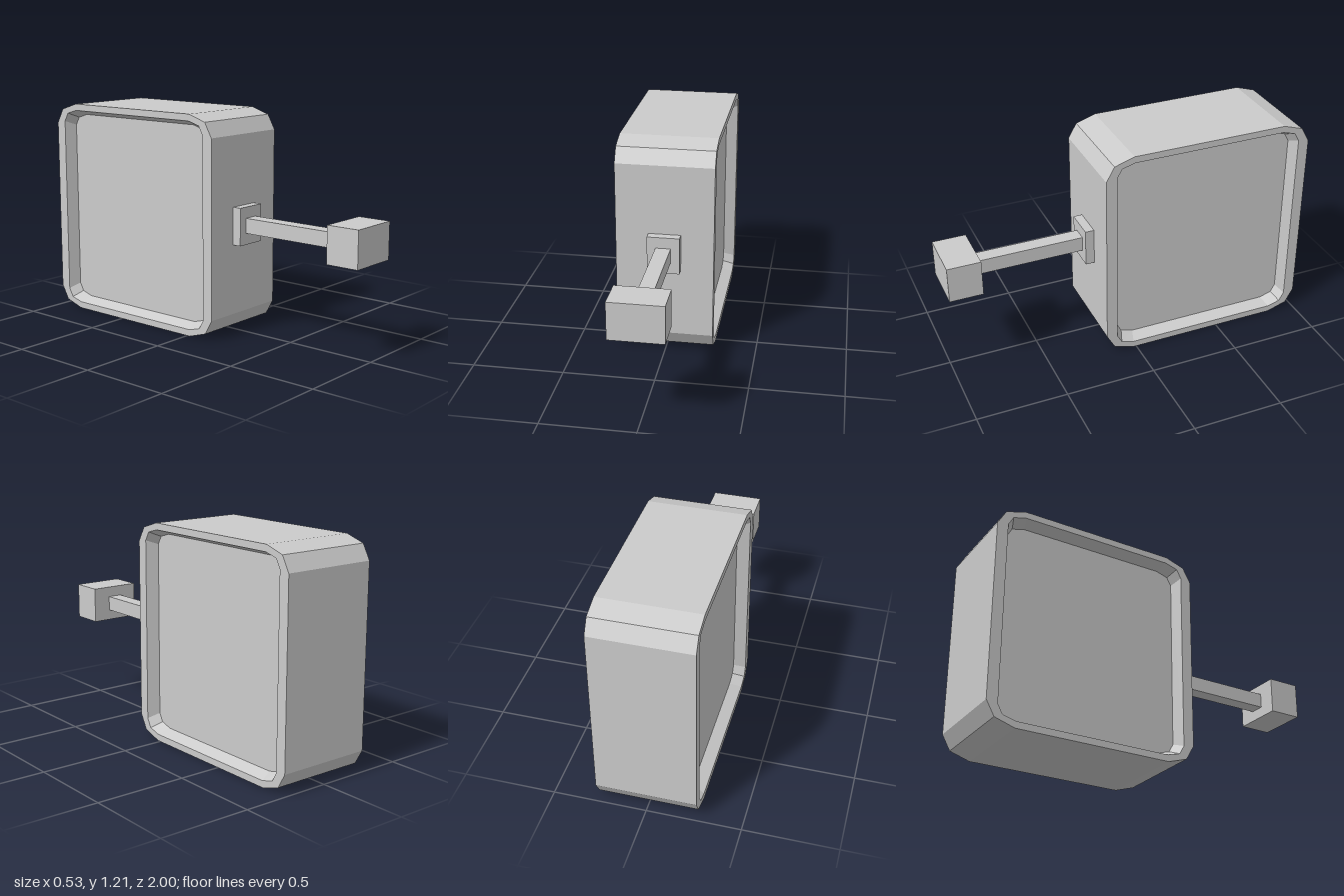
import * as THREE from 'three';

const CZ = -0.4125, CY = 0.6025;

// Chamfered rectangle in the z-y plane, counter-clockwise seen from +x.
// hz, hy: half sizes; c: corner points as insets [z, y] from the two sides.
function ring(x, hz, hy, c) {
  const pts = [];
  const quads = [[1, 1], [-1, 1], [-1, -1], [1, -1]];
  quads.forEach(([sz, sy], q) => {
    const corner = q % 2 ? [...c].reverse() : c;
    for (const [dz, dy] of corner) pts.push([x, CY + sy * (hy - dy), CZ - sz * (hz - dz)]);
  });
  return pts;
}

// Skin over successive rings with flat caps at both ends
function loft(rings) {
  const pos = [];
  const tri = (a, b, c) => pos.push(...a, ...b, ...c);
  const n = rings[0].length;
  const first = rings[0], last = rings[rings.length - 1];
  for (let i = 0; i < n; i++) {
    const j = (i + 1) % n;
    for (let k = 0; k < rings.length - 1; k++) {
      const a = rings[k], b = rings[k + 1];
      tri(a[i], b[j], b[i]);
      tri(a[i], a[j], b[j]);
    }
    tri([first[0][0], CY, CZ], first[j], first[i]);
    tri([last[0][0], CY, CZ], last[i], last[j]);
  }
  const geo = new THREE.BufferGeometry();
  geo.setAttribute('position', new THREE.Float32BufferAttribute(pos, 3));
  geo.computeVertexNormals();
  return geo;
}

export function createModel() {
  const group = new THREE.Group();
  const mat = new THREE.MeshStandardMaterial({ color: 0xcccccc, flatShading: true });
  const add = (name, geo) => {
    const mesh = new THREE.Mesh(geo, mat);
    mesh.name = name;
    group.add(mesh);
    return mesh;
  };

  // Chamfered body with a shallow tapered recess on both sides
  const W = 0.266, FLOOR = 0.201;
  const outer = x => ring(x, 0.5875, 0.6025, [[0, 0.115], [0.045, 0.035], [0.155, 0]]);
  const rim = x => ring(x, 0.527, 0.566, [[0, 0.068], [0.027, 0.02], [0.098, 0]]);
  const floor = x => ring(x, 0.502, 0.539, [[0, 0.065], [0.025, 0.02], [0.092, 0]]);
  add('body', loft([floor(-FLOOR), rim(-W), outer(-W), outer(W), rim(W), floor(FLOOR)]));

  // Mounting plate, rod and end block along +z
  const box = (name, w, h, z0, z1, y) =>
    add(name, new THREE.BoxGeometry(w, h, z1 - z0)).position.set(0, y, (z0 + z1) / 2);
  box('mountPlate', 0.176, 0.206, 0.17, 0.224, 0.602);
  box('rod', 0.082, 0.082, 0.22, 0.82, 0.603);
  box('endBlock', 0.284, 0.2, 0.817, 1, 0.603);

  return group;
}
